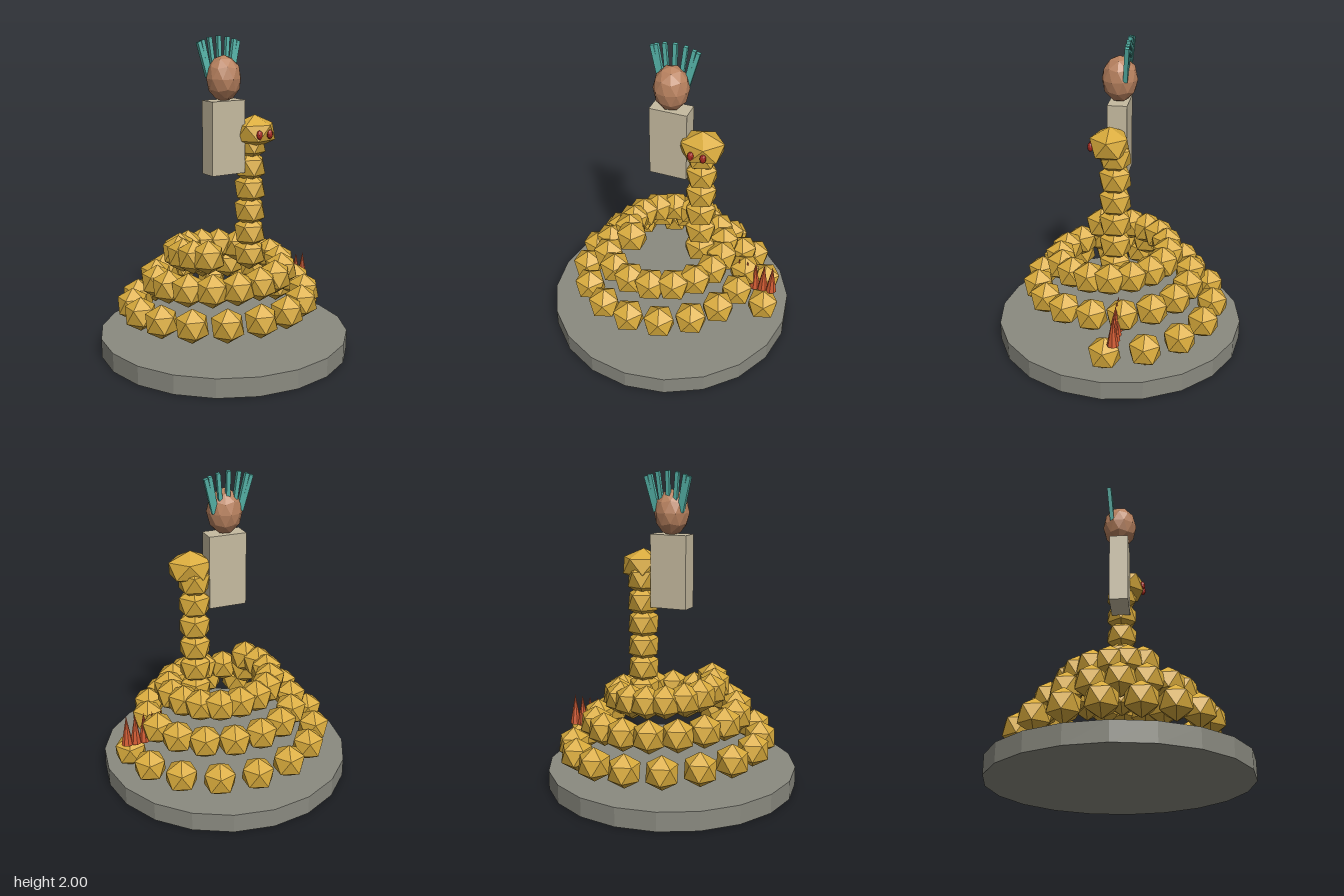
import * as THREE from 'three';

const mat = (name, color) => {
  const m = new THREE.MeshStandardMaterial({ color, flatShading: true });
  m.name = name;
  return m;
};

// Icosahedron standing on a vertex, one upper-ring corner towards +x
function ico(r, detail = 0) {
  return new THREE.IcosahedronGeometry(r, detail)
    .rotateZ(Math.atan2(0.5257, 0.8507))
    .rotateY(Math.PI);
}

export function createModel() {
  const model = new THREE.Group();
  const gold = mat('gold scales', 0xd9ab3c);
  const stone = mat('grey stone', 0x8a8a80);
  const cloth = mat('pale cloth', 0xc6bba0);
  const skin = mat('brown skin', 0xb9825f);
  const teal = mat('teal feather', 0x55b3a8);
  const orange = mat('orange rattle', 0xd05a32);
  const red = mat('red eye', 0xa82a20);

  const add = (name, geo, material, x, y, z, parent = model) => {
    const m = new THREE.Mesh(geo, material);
    m.name = name;
    m.position.set(x, y, z);
    parent.add(m);
    return m;
  };
  const group = (name) => {
    const g = new THREE.Group();
    g.name = name;
    model.add(g);
    return g;
  };

  // Round stone base
  add('base', new THREE.CylinderGeometry(0.8, 0.8, 0.12, 20), stone, 0, 0.06, 0);

  // Coiled body: beads on a rising, narrowing spiral
  const bead = ico(0.11);
  const coil = group('coiledBody');
  const last = 43;
  for (let i = 0; i <= last; i++) {
    const t = i / last, a = t * 2.6 * Math.PI * 2, r = 0.65 - 0.385 * t;
    add('coilSegment', bead, gold, r * Math.cos(a), 0.228 + 0.442 * t, -r * Math.sin(a), coil);
  }

  // Raised neck
  const neck = group('neck');
  for (let i = 0; i < 6; i++) add('neckSegment', bead, gold, 0.2, 0.595 + i * 0.145, 0, neck);

  // Serpent head and eyes
  add('serpentHead', ico(1).scale(0.157, 0.11, 0.132), gold, 0.21, 1.4, 0.032);
  const eye = ico(1, 1).scale(0.02, 0.03, 0.018);
  for (const x of [0.175, 0.253]) add('eye', eye, red, x, 1.393, 0.14);

  // Tail rattle spikes
  const rattle = group('tailRattle');
  const spike = new THREE.ConeGeometry(0.037, 0.2, 8);
  for (let i = 0; i < 5; i++) add('rattleSpike', spike, orange, 0.46 + i * 0.0565, 0.412, -0.057, rattle);

  // Rider: torso, head and fan of feathers
  add('torso', new THREE.BoxGeometry(0.24, 0.46, 0.12), cloth, 0, 1.38, 0);
  add('riderHead', ico(1, 1).scale(0.11, 0.143, 0.11), skin, 0, 1.743, 0);

  const crown = group('featherCrown');
  const up = new THREE.Vector3(0, 1, 0);
  for (let i = -3; i <= 3; i++) {
    const s = Math.sin(i * 0.47);
    const base = new THREE.Vector3(0.088 * s, 1.75, -0.045);
    const tip = new THREE.Vector3(0.145 * s, 2 - 0.035 * s * s, -0.062);
    const dir = tip.clone().sub(base);
    const mid = base.clone().add(tip).multiplyScalar(0.5);
    const f = add('feather', new THREE.BoxGeometry(0.024, dir.length(), 0.026), teal, mid.x, mid.y, mid.z, crown);
    f.quaternion.setFromUnitVectors(up, dir.normalize());
  }
  return model;
}
